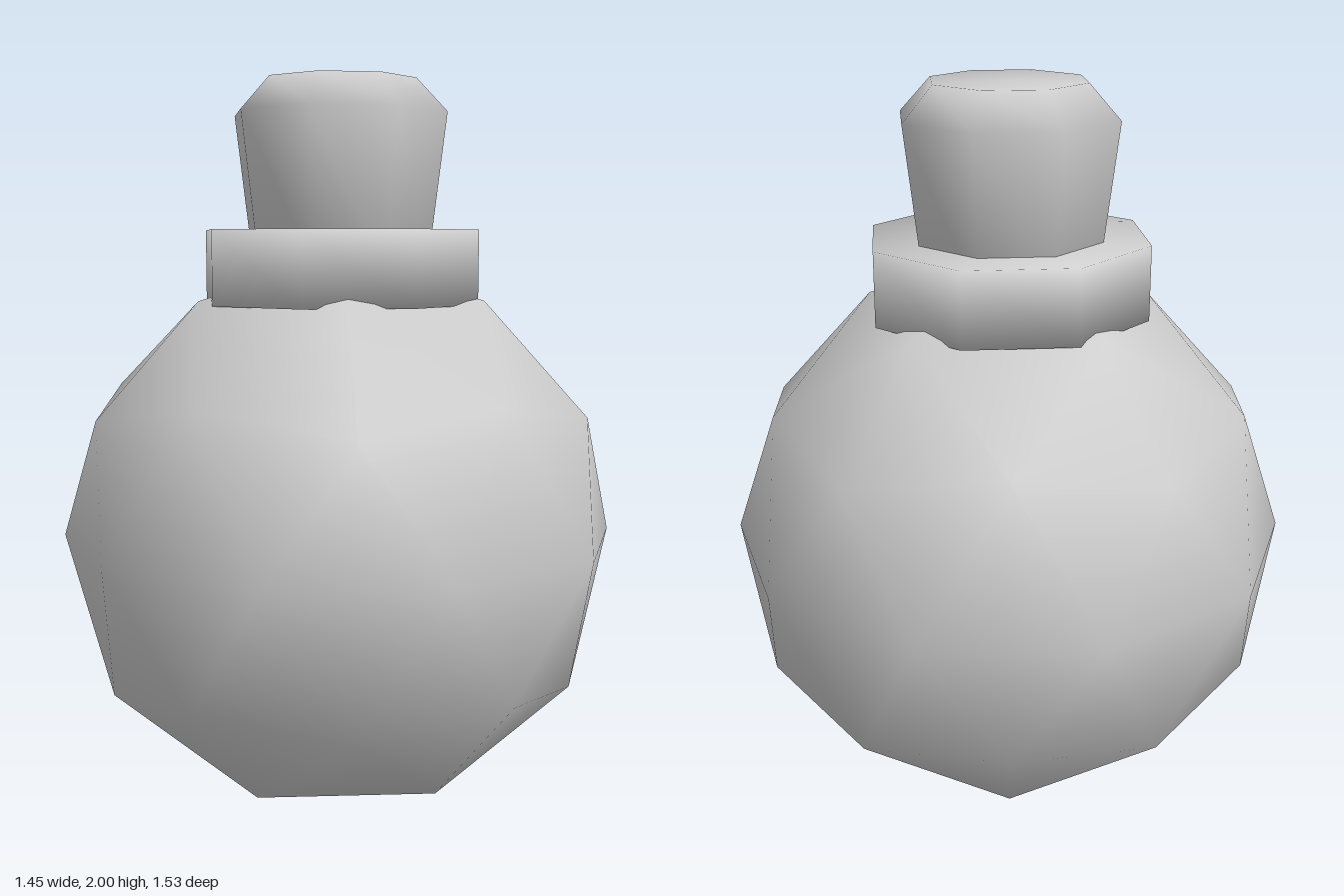
import * as THREE from 'three';
import { mergeVertices } from 'three/addons/utils/BufferGeometryUtils.js';

const SIDES = 8;

// Eight-sided turned solid, shaded smoothly across every edge
function turned(name, profile, material) {
  const points = profile.map(([r, y]) => new THREE.Vector2(r, y));
  let geometry = new THREE.LatheGeometry(points, SIDES);
  geometry.deleteAttribute('normal');
  geometry.deleteAttribute('uv');
  geometry = mergeVertices(geometry);
  geometry.computeVertexNormals();
  const mesh = new THREE.Mesh(geometry, material);
  mesh.name = name;
  return mesh;
}

export function createModel() {
  const model = new THREE.Group();
  model.name = 'roundFlask';

  const grey = new THREE.MeshStandardMaterial({ color: 0xcccccc });
  grey.name = 'plain grey';

  // Round body: 80-face icosphere turned so that one corner points straight up
  const radius = 0.763;
  const ball = new THREE.IcosahedronGeometry(radius, 1);
  ball.rotateZ(-Math.atan(2 / (1 + Math.sqrt(5))));
  const body = new THREE.Mesh(ball, grey);
  body.name = 'body';
  body.position.y = radius;
  model.add(body);

  // Collar around the neck
  model.add(turned('collar', [[0, 1.4], [0.385, 1.4], [0.385, 1.6], [0, 1.6]], grey));

  // Stopper, wider towards the top, with a bevelled rim
  model.add(turned('stopper', [[0, 1.5], [0.246, 1.5], [0.297, 1.91], [0.212, 2], [0, 2]], grey));

  return model;
}
